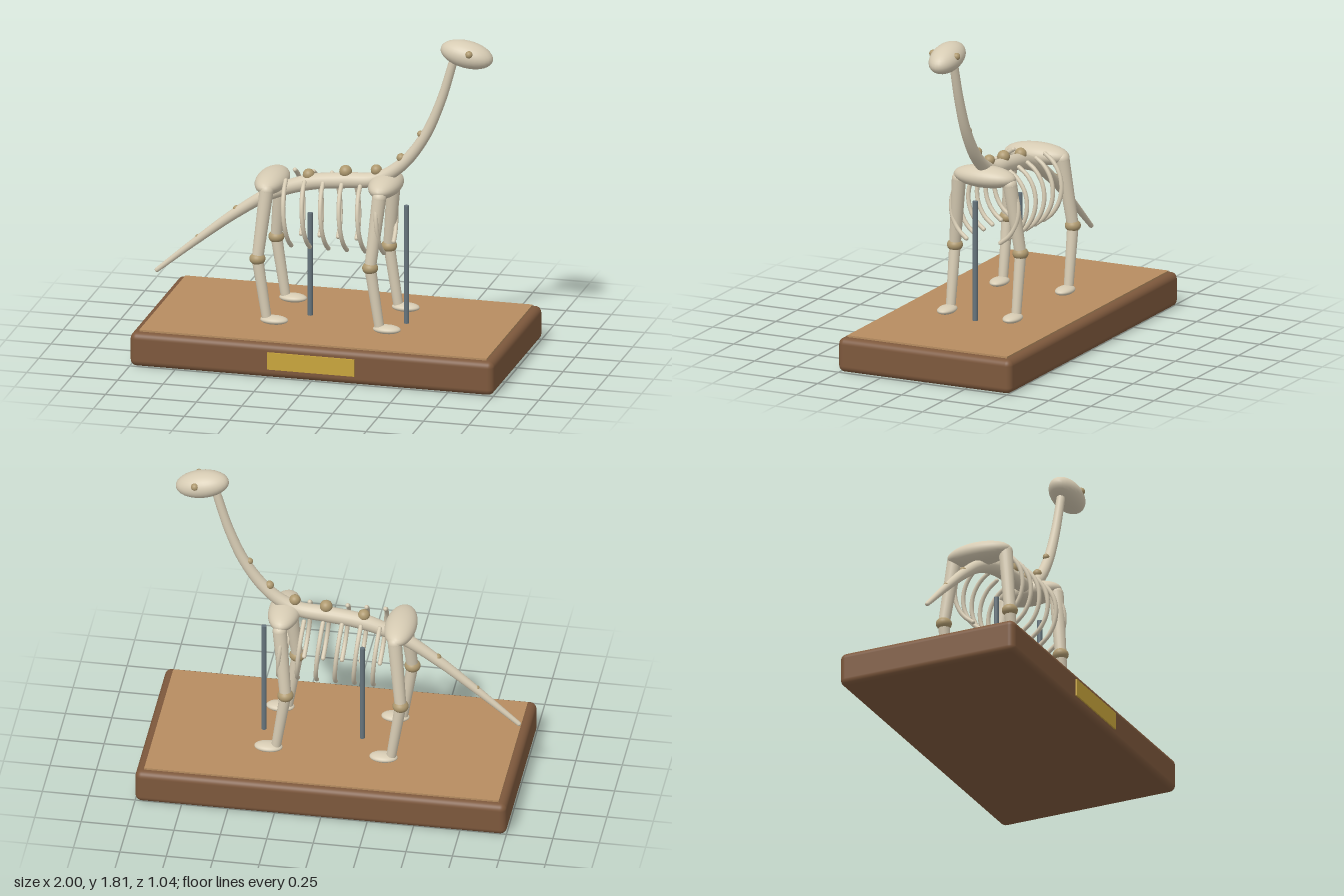
import * as THREE from 'three';
import { RoundedBoxGeometry } from 'three/addons/geometries/RoundedBoxGeometry.js';

const V = (x, y, z = 0) => new THREE.Vector3(x, y, z);

function material(name, color) {
  const m = new THREE.MeshStandardMaterial({ color });
  m.name = name;
  return m;
}

export function createModel() {
  const bone = material('bone', 0xd6cbb3);
  const joint = material('joint', 0xae996f);
  const wood = material('dark wood', 0x7d583c);
  const panelWood = material('light wood', 0xb68c60);
  const brass = material('brass', 0xc9a53c);
  const steel = material('steel', 0x66747c);

  const model = new THREE.Group();
  model.name = 'skeletonDisplay';

  function add(parent, name, geometry, mat, pos = V(0, 0)) {
    const mesh = new THREE.Mesh(geometry, mat);
    mesh.name = name;
    mesh.position.copy(pos);
    parent.add(mesh);
    return mesh;
  }

  function ellipsoid(parent, name, mat, pos, rx, ry = rx, rz = rx) {
    const mesh = add(parent, name, new THREE.SphereGeometry(1, 28, 18), mat, pos);
    mesh.scale.set(rx, ry, rz);
    return mesh;
  }

  // Tapered cylinder running from a to b
  function limb(parent, name, mat, a, b, ra, rb) {
    const dir = b.clone().sub(a);
    const mesh = add(parent, name, new THREE.CylinderGeometry(rb, ra, dir.length(), 20), mat,
      a.clone().add(b).multiplyScalar(0.5));
    mesh.quaternion.setFromUnitVectors(V(0, 1), dir.normalize());
    return mesh;
  }

  // Tube whose rings are scaled to follow a radius function
  function taperedTube(curve, segments, sides, radiusAt) {
    const geo = new THREE.TubeGeometry(curve, segments, 1, sides);
    const p = geo.attributes.position;
    const v = V(0, 0);
    for (let i = 0; i <= segments; i++) {
      const c = curve.getPointAt(i / segments);
      const r = radiusAt(i / segments, c);
      for (let j = 0; j <= sides; j++) {
        const k = i * (sides + 1) + j;
        v.fromBufferAttribute(p, k).sub(c).multiplyScalar(r).add(c);
        p.setXYZ(k, v.x, v.y, v.z);
      }
    }
    geo.computeVertexNormals();
    // Keep the seam smooth by using the radial normals at both seam columns
    const n = geo.attributes.normal;
    for (let i = 0; i <= segments; i++) {
      const a = i * (sides + 1), b = a + sides;
      v.set(n.getX(a) + n.getX(b), n.getY(a) + n.getY(b), n.getZ(a) + n.getZ(b)).normalize();
      n.setXYZ(a, v.x, v.y, v.z);
      n.setXYZ(b, v.x, v.y, v.z);
    }
    return geo;
  }

  // Wooden plinth with inset panel and plaque
  const plinth = new THREE.Group();
  plinth.name = 'plinth';
  model.add(plinth);
  add(plinth, 'base', new RoundedBoxGeometry(2, 0.187, 1.03, 5, 0.035), wood, V(0, 0.0935, -0.005));
  add(plinth, 'topPanel', new THREE.BoxGeometry(1.91, 0.03, 0.95), panelWood, V(0, 0.182, -0.005));
  add(plinth, 'plaque', new THREE.BoxGeometry(0.48, 0.095, 0.009), brass, V(0, 0.0975, 0.5135));

  const skeleton = new THREE.Group();
  skeleton.name = 'skeleton';
  skeleton.position.z = -0.005;
  model.add(skeleton);

  // Spine from tail tip to head
  const spine = new THREE.CatmullRomCurve3([
    V(-0.985, 0.378), V(-0.76, 0.568), V(-0.55, 0.735), V(-0.36, 0.86), V(-0.15, 0.94),
    V(0.05, 0.968), V(0.22, 0.99), V(0.36, 1.08), V(0.485, 1.245), V(0.575, 1.45), V(0.65, 1.7),
  ]);
  const radiusAtX = (x) => (x < 0
    ? THREE.MathUtils.lerp(0.012, 0.043, Math.min(1, (x + 1) / 0.85))
    : THREE.MathUtils.lerp(0.043, 0.023, Math.max(0, (x - 0.1) / 0.55)));
  add(skeleton, 'spine', taperedTube(spine, 90, 20, (t, c) => radiusAtX(c.x)), bone);
  ellipsoid(skeleton, 'tailTip', bone, V(-0.985, 0.378), 0.012);

  // Vertebra knobs along the back
  [[-0.76, 0.582, 0.014], [-0.548, 0.757, 0.019], [-0.35, 0.9, 0.026], [-0.15, 0.983, 0.032],
    [0.053, 1.018, 0.034], [0.222, 1.04, 0.03], [0.358, 1.12, 0.024], [0.465, 1.262, 0.018],
  ].forEach(([x, y, r]) => ellipsoid(skeleton, 'vertebra', joint, V(x, y), r));

  // Head with eyes
  const head = new THREE.Group();
  head.name = 'head';
  head.position.set(0.72, 1.73, 0);
  head.rotation.z = -0.19;
  skeleton.add(head);
  ellipsoid(head, 'skull', bone, V(0, 0), 0.145, 0.072, 0.085);
  for (const s of [1, -1]) ellipsoid(head, 'eye', joint, V(0.025, 0.027, s * 0.07), 0.02);

  // Pelvis and shoulder
  ellipsoid(skeleton, 'pelvis', bone, V(-0.35, 0.937), 0.085, 0.06, 0.185);
  ellipsoid(skeleton, 'shoulder', bone, V(0.275, 0.965), 0.087, 0.06, 0.18);

  // Four legs
  for (const [name, x, top] of [['hindLeg', -0.35, 0.925], ['frontLeg', 0.27, 0.935]]) {
    for (const s of [1, -1]) {
      const leg = new THREE.Group();
      leg.name = name;
      skeleton.add(leg);
      const hip = V(x + 0.008, top, s * 0.152);
      const knee = V(x - 0.03, 0.555, s * 0.195);
      const ankle = V(x + 0.022, 0.218, s * 0.195);
      ellipsoid(leg, 'hipJoint', bone, hip, 0.038);
      limb(leg, 'upperLeg', bone, hip, knee, 0.038, 0.031);
      ellipsoid(leg, 'knee', joint, knee, 0.043, 0.034, 0.043);
      limb(leg, 'lowerLeg', bone, knee, ankle, 0.031, 0.026);
      ellipsoid(leg, 'foot', bone, V(x + 0.062, 0.22, s * 0.195), 0.076, 0.023, 0.048);
    }
  }

  // Six pairs of curved ribs
  for (let i = 0; i < 6; i++) {
    const x = -0.235 + i * 0.102;
    for (const s of [1, -1]) {
      const pts = [];
      for (let k = 0; k <= 8; k++) {
        const a = THREE.MathUtils.lerp(1.08, -1.04, k / 8);
        pts.push(V(x - 0.09 * Math.sin(a) * 0.2, 0.79 + 0.205 * Math.sin(a), s * 0.2 * Math.cos(a)));
      }
      const curve = new THREE.CatmullRomCurve3(pts);
      add(skeleton, 'rib', new THREE.TubeGeometry(curve, 28, 0.012, 10), bone);
      for (const end of [pts[0], pts[8]]) ellipsoid(skeleton, 'ribEnd', bone, end, 0.012);
    }
  }

  // Steel support rods
  for (const [x, top] of [[-0.142, 0.9], [0.388, 0.855]]) {
    limb(skeleton, 'supportRod', steel, V(x, 0.19), V(x, x < 0 ? 0.77 : top), 0.014, 0.014);
  }

  return model;
}
